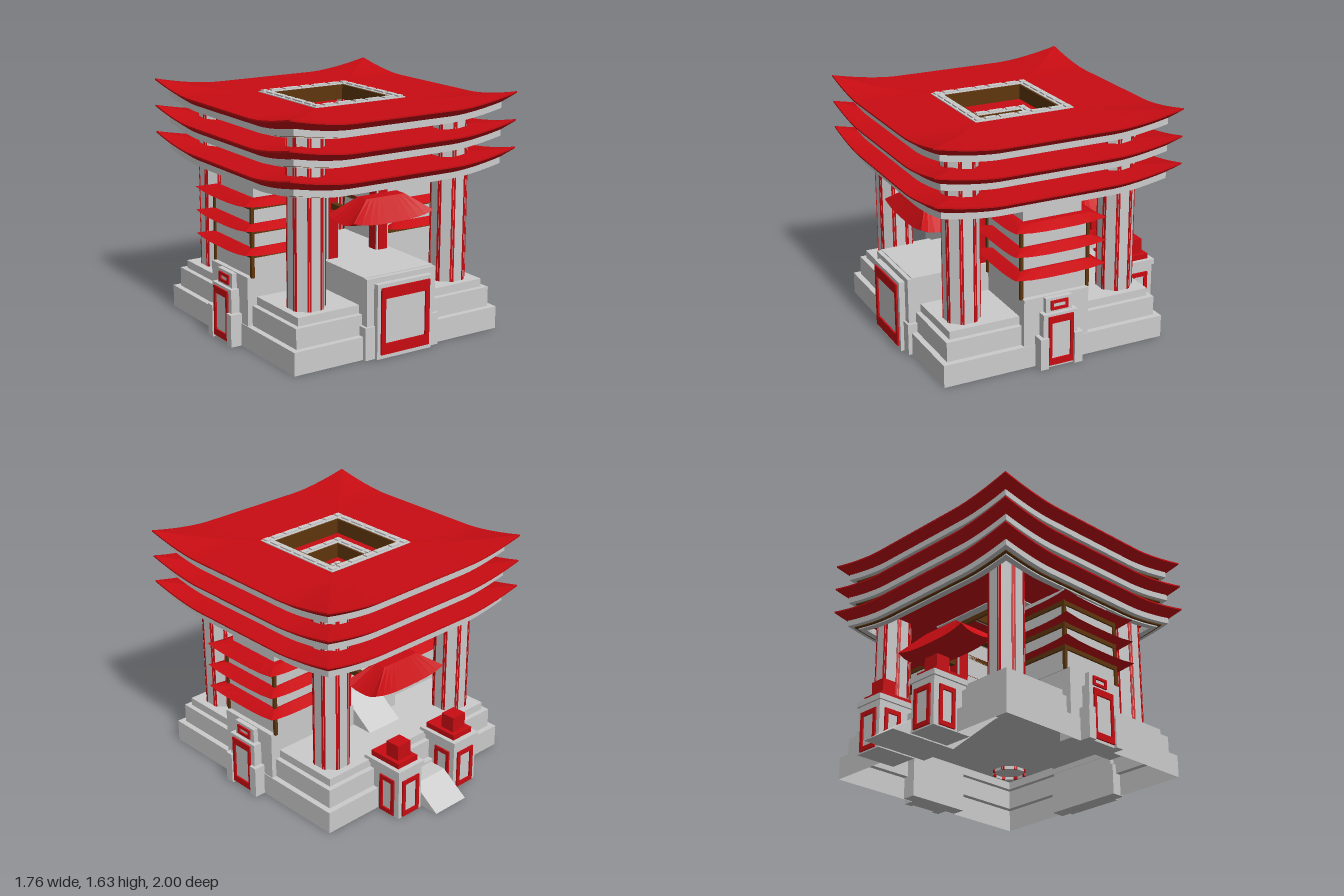
import * as THREE from 'three';

const CZ = 0.1275; // courtyard centre in z
const mat = (color) => new THREE.MeshStandardMaterial({ color, flatShading: true, side: THREE.DoubleSide });

export function createModel() {
  const root = new THREE.Group();
  const grey = mat(0xcccccc), red = mat(0xc80c12), brown = mat(0x5e360c);

  const add = (parent, name, geo, material, x = 0, y = 0, z = 0) => {
    const m = new THREE.Mesh(geo, material);
    m.name = name;
    m.position.set(x, y, z);
    parent.add(m);
    return m;
  };
  const group = (parent, name, x = 0, y = 0, z = 0) => {
    const g = new THREE.Group();
    g.name = name;
    g.position.set(x, y, z);
    parent.add(g);
    return g;
  };
  // box from its limits
  const block = (parent, name, material, x0, x1, y0, y1, z0, z1) =>
    add(parent, name, new THREE.BoxGeometry(x1 - x0, y1 - y0, z1 - z0), material,
      (x0 + x1) / 2, (y0 + y1) / 2, (z0 + z1) / 2);

  // corners sweep upwards, the middle of each side stays level
  const cornerLift = (x, z) =>
    0.068 * Math.pow(Math.max(0, Math.min(Math.abs(x), Math.abs(z)) - 0.4) / 0.47, 1.6);

  // square loops joined along a profile of [half size, height]
  function squareLoops(profile, segs = 1, lifted = false) {
    const pos = [], idx = [], n = segs * 4;
    for (const [h, y] of profile) {
      for (let i = 0; i < n; i++) {
        const side = Math.floor(i / segs), t = (i % segs) / segs * 2 - 1;
        const [x, z] = [[t, 1], [1, -t], [-t, -1], [-1, t]][side].map((c) => c * h);
        pos.push(x, y + (lifted ? cornerLift(x, z) : 0), z);
      }
    }
    for (let r = 0; r < profile.length - 1; r++) {
      for (let i = 0; i < n; i++) {
        const j = (i + 1) % n, a = r * n + i, b = r * n + j, c = a + n, d = b + n;
        idx.push(a, b, d, a, d, c);
      }
    }
    const g = new THREE.BufferGeometry();
    g.setAttribute('position', new THREE.Float32BufferAttribute(pos, 3));
    g.setIndex(idx);
    const flat = g.toNonIndexed();
    flat.computeVertexNormals();
    return flat;
  }
  const squareBand = (out, inn, y0, y1, segs, lifted) =>
    squareLoops([[inn, y0], [out, y0], [out, y1], [inn, y1], [inn, y0]], segs, lifted);

  // small hipped roof with upturned corners
  function hipRoof(w, d, h, insetX, insetZ, lift) {
    const g = new THREE.BoxGeometry(w, h, d, 10, 1, 6), p = g.attributes.position;
    for (let i = 0; i < p.count; i++) {
      const u = p.getX(i) / (w / 2), v = p.getZ(i) / (d / 2);
      if (p.getY(i) > 0) {
        p.setX(i, u * (w / 2 - insetX));
        p.setZ(i, v * (d / 2 - insetZ));
      } else {
        p.setY(i, -h / 2 + lift * Math.abs(u * v) ** 3);
      }
    }
    g.computeVertexNormals();
    return g;
  }

  // stepped plinth, open underneath
  add(root, 'plinth', squareLoops([[0.805, 0], [0.805, 0.155], [0.765, 0.155], [0.765, 0.29],
    [0.73, 0.29], [0.73, 0.345], [0, 0.345]]), grey, 0, 0, CZ);

  // three great roofs, each open in the middle
  for (let k = 0; k < 3; k++) {
    const roof = group(root, 'greatRoof', 0, 1.565 - 0.184 * k, CZ);
    add(roof, 'roofSlab', squareLoops([[0.3, -0.058], [0.55, -0.058], [0.7, -0.058], [0.8, -0.058], [0.87, -0.01],
      [0.87, 0], [0.78, 0], [0.69, 0], [0.6, 0], [0.5, 0], [0.3, 0], [0.3, -0.058]], 32, true), red);
    add(roof, 'eavesBand', squareBand(0.8, 0.72, -0.1, -0.05, 32, true), grey);
    add(roof, 'eavesInnerBand', squareBand(0.765, 0.71, -0.108, -0.098, 32, true), brown);
    add(roof, 'eavesLowerBand', squareBand(0.745, 0.7, -0.117, -0.106, 32, true), grey);
    add(roof, 'openingFrame', squareBand(0.355, 0.29, -0.065, 0.006), grey);
    add(roof, 'openingLining', squareBand(0.293, 0.278, -0.1, 0.002), brown);
    for (let s = 0; s < 4; s++) {
      const side = group(roof, 'frameTrim');
      side.rotation.y = s * Math.PI / 2;
      add(side, 'cornerTile', new THREE.BoxGeometry(0.04, 0.012, 0.04), grey, 0.323, 0.01, 0.323);
      for (const [x, w] of [[-0.235, 0.08], [-0.115, 0.11], [0, 0.07], [0.115, 0.11], [0.235, 0.08]]) {
        add(side, 'trimTile', new THREE.BoxGeometry(w, 0.012, 0.035), grey, x, 0.01, 0.323);
      }
    }
  }

  // four octagonal pillars with red edges
  for (const sx of [-1, 1]) for (const sz of [-1, 1]) {
    const pillar = group(root, 'pillar', sx * 0.565, 0.915, CZ + sz * 0.567);
    add(pillar, 'shaft', new THREE.CylinderGeometry(0.1245, 0.1245, 1.18, 8, 1, true), grey)
      .rotation.y = Math.PI / 8;
    for (let k = 0; k < 8; k++) {
      const a = (k + 0.5) * Math.PI / 4;
      add(pillar, 'redEdge', new THREE.BoxGeometry(0.026, 1.18, 0.014), red,
        Math.sin(a) * 0.117, 0, Math.cos(a) * 0.117).rotation.y = a;
    }
  }

  // flat rectangular frame standing in the xy plane, facing +z
  function frame(parent, name, w, h, border, x, y, z, turn) {
    const s = new THREE.Shape([[-w, -h], [w, -h], [w, h], [-w, h]].map(([a, b]) => new THREE.Vector2(a / 2, b / 2)));
    const [iw, ih] = [w / 2 - border[0], h / 2 - border[1]];
    s.holes.push(new THREE.Path([[-iw, -ih], [-iw, ih], [iw, ih], [iw, -ih]].map(([a, b]) => new THREE.Vector2(a, b))));
    add(parent, name, new THREE.ExtrudeGeometry(s, { depth: 0.012, bevelEnabled: false }), red, x, y, z).rotation.y = turn;
  }

  // raised platform and front block
  block(root, 'platform', grey, -0.27, 0.27, 0.33, 0.54, -0.1, 0.915);
  block(root, 'frontBlock', grey, -0.27, 0.27, 0, 0.535, 0.86, 0.945);
  block(root, 'frontFoot', grey, -0.29, 0.29, 0, 0.22, 0.86, 0.96);
  block(root, 'frontSlab', grey, -0.215, 0.215, 0, 0.5, 0.9, 0.985);
  frame(root, 'frontPanelFrame', 0.38, 0.445, [0.032, 0.072], 0, 0.2525, 0.986, 0);

  // gate posts
  for (const sx of [-1, 1]) for (const sz of [-1, 1]) {
    const post = group(root, 'gatePost', sx * 0.2, 0, CZ + sz * 0.278);
    block(post, 'postCore', grey, -0.046, 0.046, 0.5, 1.09, -0.046, 0.046);
    block(post, 'postFace', red, -0.052, 0.052, 0.5, 1.09, -0.036, 0.036);
    block(post, 'postFace', red, -0.036, 0.036, 0.5, 1.09, -0.052, 0.052);
    block(post, 'postFoot', grey, -0.056, 0.056, 0.33, 0.5, -0.056, 0.056);
  }

  // gate canopies, the back one lower
  for (const [dir, y] of [[1, 0.925], [-1, 0.837]]) {
    const canopy = group(root, 'gateCanopy', 0, y, CZ + dir * 0.585);
    add(canopy, 'canopyRoof', hipRoof(0.63, 0.29, 0.15, 0.165, 0.1, 0.035), red);
    for (const sx of [-1, 1]) {
      add(canopy, 'canopyBeam', new THREE.BoxGeometry(0.04, 0.04, 0.36), brown, sx * 0.2, -0.025, -dir * 0.2);
    }
  }

  // side towers with pent roofs and panelled pedestals
  for (const s of [-1, 1]) {
    const tower = group(root, 'sideTower', 0, 0, CZ);
    if (s < 0) tower.rotation.y = Math.PI;
    block(tower, 'towerBase', grey, 0.27, 0.8, 0.33, 0.485, -0.235, 0.235);
    block(tower, 'towerBaseFront', grey, 0.7, 0.8, 0, 0.485, -0.235, 0.235);
    block(tower, 'towerWall', grey, 0.27, 0.765, 0.48, 0.98, -0.24, 0.24);
    block(tower, 'towerTop', grey, 0.27, 0.735, 0.97, 1.075, -0.21, 0.21);
    for (const sz of [-1, 1]) for (const x of [0.28, 0.765]) {
      add(tower, 'cornerPost', new THREE.BoxGeometry(0.022, 0.49, 0.022), brown, x, 0.725, sz * 0.24);
    }
    for (const y of [0.63, 0.79, 0.95]) {
      block(tower, 'towerBeam', brown, 0.27, 0.777, y - 0.015, y + 0.015, -0.252, 0.252);
      add(tower, 'pentRoof', hipRoof(0.6, 0.65, 0.038, 0.085, 0.075, 0.02), red, 0.565, y + 0.034, 0);
    }
    block(tower, 'pedestalUpper', grey, 0.72, 0.835, 0.3, 0.48, -0.095, 0.095);
    block(tower, 'pedestalMiddle', grey, 0.72, 0.86, 0, 0.38, -0.125, 0.125);
    for (const sz of [-1, 1]) {
      block(tower, 'pedestalFoot', grey, 0.72, 0.882, 0, 0.22, sz > 0 ? 0.095 : -0.155, sz > 0 ? 0.155 : -0.095);
    }
    frame(tower, 'pedestalFrame', 0.18, 0.345, [0.022, 0.045], 0.862, 0.19, 0, Math.PI / 2);
    frame(tower, 'smallFrame', 0.125, 0.065, [0.018, 0.018], 0.836, 0.43, 0, Math.PI / 2);
  }

  // back ramp with a landing
  const profile = new THREE.Shape([[1, 0], [0.8, 0.14], [0.64, 0.14], [0.1, 0.54], [0.1, 0.34], [0.5, 0]]
    .map(([a, b]) => new THREE.Vector2(a, b)));
  add(root, 'ramp', new THREE.ExtrudeGeometry(profile, { depth: 0.28, bevelEnabled: false }), grey, -0.14, 0, 0)
    .rotation.y = Math.PI / 2;

  // pedestals beside the ramp, each with a red cap and cube
  for (const s of [-1, 1]) {
    const ped = group(root, 'rampPedestal', s * 0.262, 0, -0.72);
    block(ped, 'pedestalBody', grey, -0.105, 0.105, 0, 0.34, -0.15, 0.15);
    block(ped, 'pedestalRim', grey, -0.118, 0.118, 0.33, 0.368, -0.162, 0.16);
    block(ped, 'redCap', red, -0.088, 0.088, 0.36, 0.405, -0.125, 0.125);
    block(ped, 'redCube', red, -0.058, 0.058, 0.4, 0.512, -0.09, 0.015);
    frame(ped, 'backFrame', 0.15, 0.27, [0.025, 0.03], 0, 0.145, -0.15, Math.PI);
    for (const t of [-1, 1]) {
      frame(ped, 'sideFrame', 0.13, 0.27, [0.025, 0.03], t * 0.105, 0.145, -0.045, t * Math.PI / 2);
    }
  }
  return root;
}
